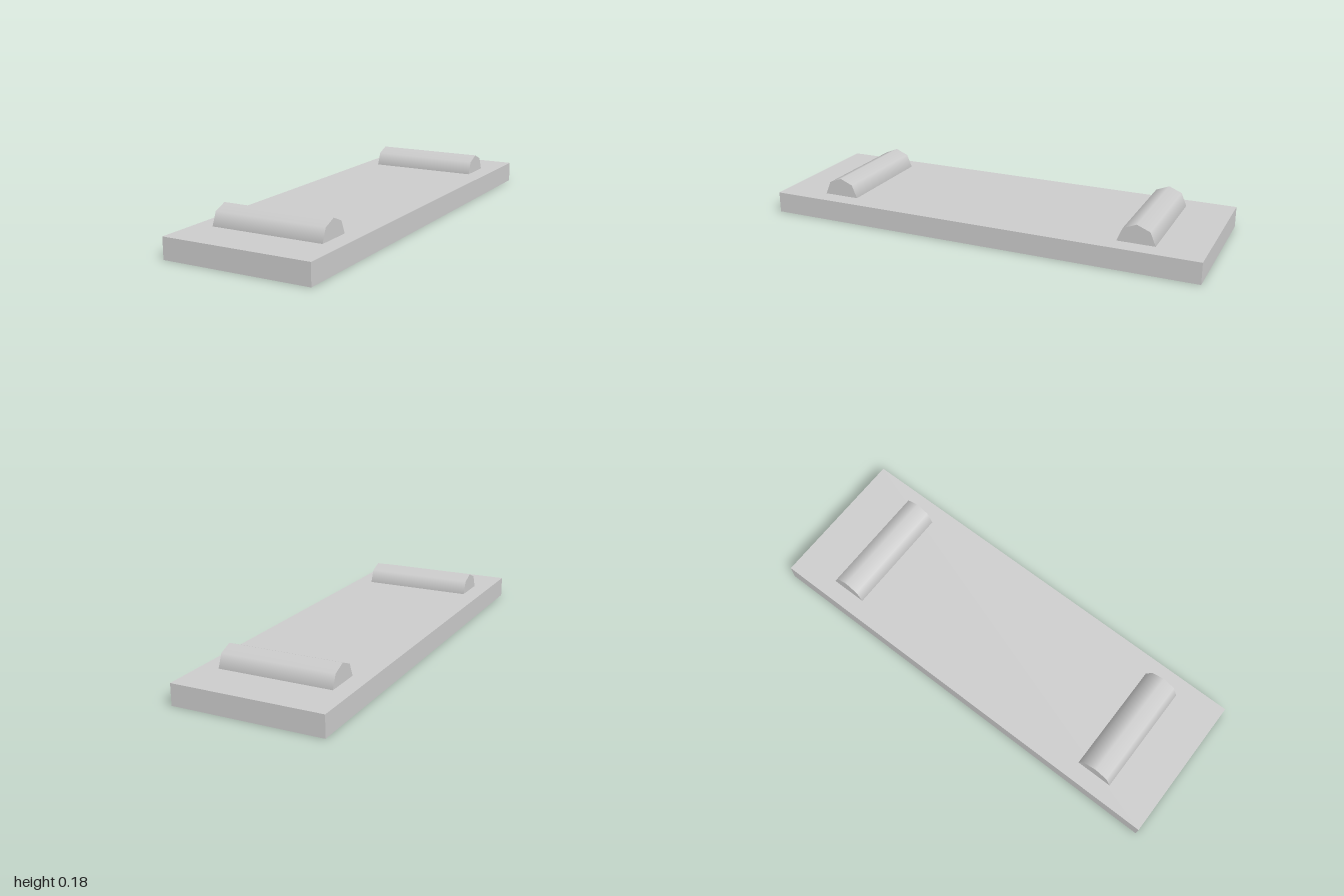
import * as THREE from 'three';

export function createModel() {
  const model = new THREE.Group();
  const lightGrey = new THREE.MeshStandardMaterial({ color: 0xcccccc });
  lightGrey.name = 'lightGrey';

  const width = 0.676, thickness = 0.095, length = 2;

  // flat slab standing on the ground
  const plate = new THREE.Mesh(new THREE.BoxGeometry(width, thickness, length), lightGrey);
  plate.name = 'basePlate';
  plate.position.y = thickness / 2;
  model.add(plate);

  // smooth eight-sided bars, sunk to their axis in the slab
  const barGeometry = new THREE.CylinderGeometry(0.083, 0.083, 0.516, 8).rotateZ(Math.PI / 2);
  for (const [name, z] of [['frontBar', 0.707], ['backBar', -0.707]]) {
    const bar = new THREE.Mesh(barGeometry, lightGrey);
    bar.name = name;
    bar.position.set(0, thickness, z);
    model.add(bar);
  }
  return model;
}
